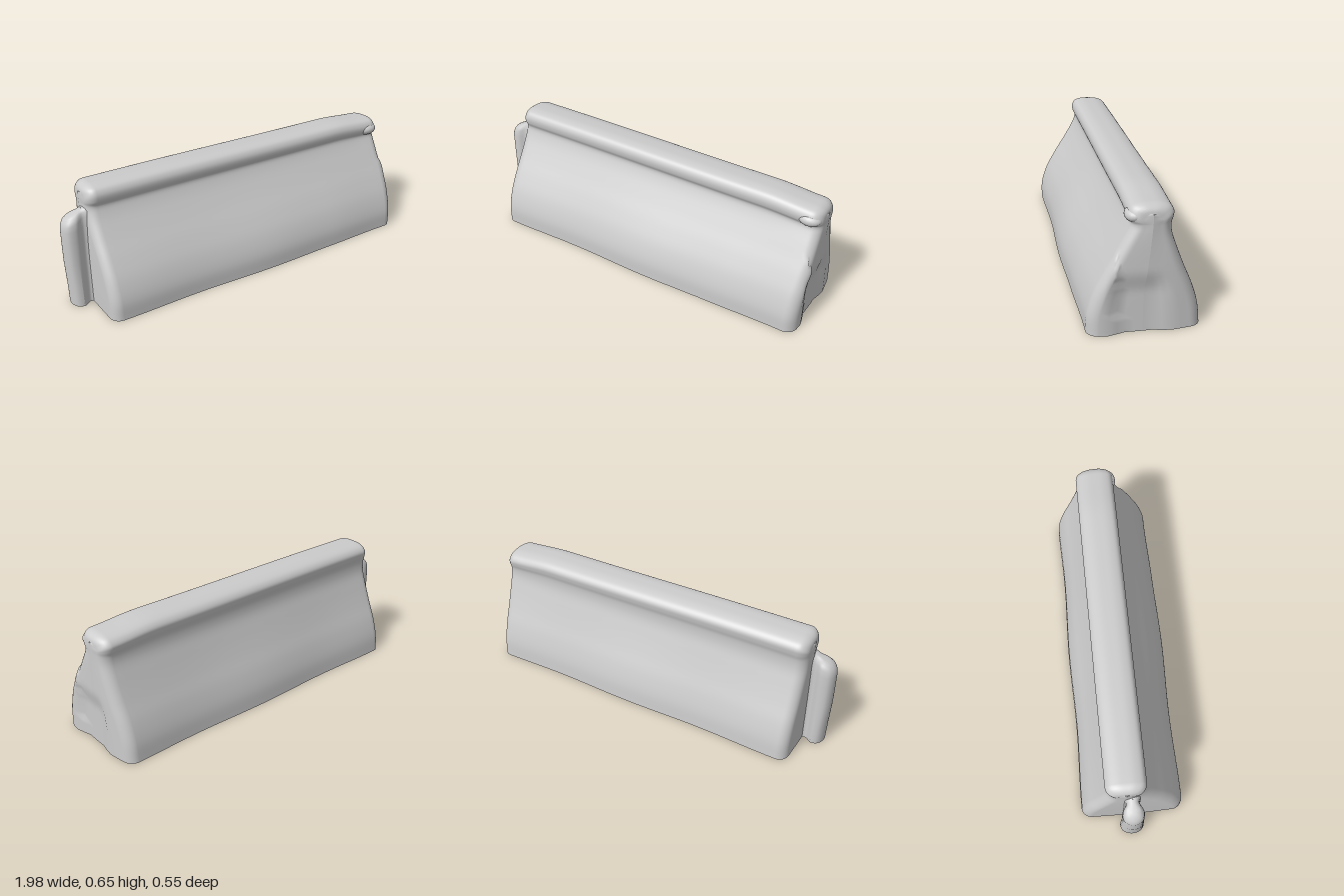
import * as THREE from 'three';

const material = new THREE.MeshStandardMaterial({ color: 0xcccccc, roughness: 0.9, side: THREE.DoubleSide });
const smooth = (a, b, v) => THREE.MathUtils.smoothstep(v, a, b);

// Skin a list of equally long point rows
function loft(rows, closed) {
  const n = rows[0].length, index = [];
  for (let i = 0; i < rows.length - 1; i++) {
    for (let j = 0; j < (closed ? n : n - 1); j++) {
      const k = (j + 1) % n;
      const a = i * n + j, b = i * n + k, c = a + n, d = b + n;
      index.push(a, c, b, b, c, d);
    }
  }
  const g = new THREE.BufferGeometry();
  g.setAttribute('position', new THREE.Float32BufferAttribute(rows.flat(2), 3));
  g.setIndex(index);
  g.computeVertexNormals();
  return g;
}

// Barrier section as (z, y): front foot, front lip, top, back lip, back foot
const section = new THREE.CatmullRomCurve3([
  [0.272, 0.005], [0.268, 0.1], [0.237, 0.2], [0.184, 0.3], [0.122, 0.4],
  [0.066, 0.5], [0.052, 0.545], [0.064, 0.575], [0.066, 0.61], [0.05, 0.637],
  [0.015, 0.649], [-0.035, 0.65], [-0.085, 0.645], [-0.122, 0.63], [-0.14, 0.605],
  [-0.138, 0.575], [-0.13, 0.54], [-0.133, 0.48], [-0.158, 0.4], [-0.195, 0.3],
  [-0.235, 0.2], [-0.263, 0.1], [-0.273, 0.005],
].map(([z, y]) => new THREE.Vector3(0, y, z)), false, 'centripetal').getPoints(110);

// Stations along the length: x, corner inset, closing scale towards the centre line
function stations() {
  const list = [], r = 0.055;
  const corner = (end, dir) => {
    const out = [];
    for (const s of [0, 0.2, 0.4, 0.6, 0.8]) out.push([end + dir * 0.006 * (1 - s), r, s]);
    for (let i = 0; i <= 8; i++) {
      const a = (i / 8) * Math.PI / 2;
      out.push([end - dir * r * (1 - Math.cos(a)), r * (1 - Math.sin(a)), 1]);
    }
    return out;
  };
  list.push(...corner(-0.88, -1));
  for (let i = 1; i < 40; i++) list.push([-0.825 + (i / 40) * 1.74, 0, 1]);
  list.push(...corner(0.97, 1).reverse());
  return list;
}

function barrierBody() {
  const rows = stations().map(([x, inset, s]) => section.map((p) => {
    const mid = -0.036 * smooth(0.1, 0.6, p.y);
    const half = p.z - mid;
    // Round the end corners by moving the sides and the top inwards
    const rounded = Math.sign(half) * Math.max(0, Math.abs(half) - inset * Math.min(1, Math.abs(half) / 0.09));
    let z = mid + rounded * s;
    let y = p.y - inset * 0.75 * smooth(0.54, 0.65, p.y);
    // The crown dips towards the right end
    y -= (0.008 * smooth(-0.6, 0.6, x) + 0.018 * smooth(0.65, 0.95, x)) * smooth(0.45, 0.62, p.y);
    // Gentle casting waviness on the lower sides
    const low = 1 - smooth(0.1, 0.5, p.y);
    z += Math.sign(rounded) * 0.005 * Math.sin(x * 7 + 1) * low * s;
    if (rounded > 0) z -= 0.018 * smooth(0.5, 0.9, x) * low * s;
    let px = x;
    if (x > 0.9) {
      px += 0.012 * smooth(0.12, -0.12, z) - 0.014 * smooth(0.1, 0.27, Math.abs(z));
      // Shallow recess in the right end
      px -= 0.02 * (1 - smooth(0.2, 0.32, p.y)) * (1 - smooth(0.08, 0.15, Math.abs(z - 0.03)));
    }
    return [px, y, z];
  }));
  return loft(rows, false);
}

// Connector tongue: a bulb on a neck, lofted upwards with a domed, sloping top
function tongue() {
  const outline = new THREE.CatmullRomCurve3([
    [0.08, 0.045], [0.045, 0.036], [0.005, 0.056], [-0.035, 0.048], [-0.055, 0.018],
    [-0.055, -0.018], [-0.035, -0.048], [0.005, -0.056], [0.045, -0.036], [0.08, -0.045],
  ].map(([x, z]) => new THREE.Vector3(x, 0, z)), true).getPoints(48).slice(0, -1);
  const levels = [[0.005, 1], [0.12, 1], [0.25, 1], [0.38, 1], [0.44, 1], [0.475, 0.94],
    [0.495, 0.8], [0.507, 0.55], [0.51, 0.25], [0.51, 0.001]];
  const rows = levels.map(([y, s]) => outline.map((p) => {
    const flare = 1 + 0.15 * (1 - smooth(0, 0.35, y));
    const px = p.x > 0 ? p.x : p.x * s;
    const lean = 0.012 * (1 - smooth(0, 0.3, y)) * (p.x < 0 ? 1 : 0);
    return [-0.945 + px + lean, y + 0.4 * px * smooth(0.4, 0.5, y), -0.008 + p.z * s * flare];
  }));
  return loft(rows, true);
}

export function createModel() {
  const group = new THREE.Group();
  group.name = 'roadBarrier';
  const add = (name, geometry) => {
    const mesh = new THREE.Mesh(geometry, material);
    mesh.name = name;
    group.add(mesh);
    return mesh;
  };
  add('barrierBody', barrierBody());
  add('connectorTongue', tongue());

  // Worn lump under the lip at the right end
  const lump = add('lipLump', new THREE.SphereGeometry(1, 24, 16));
  lump.scale.set(0.06, 0.034, 0.045);
  lump.position.set(0.905, 0.565, 0.036);
  return group;
}
